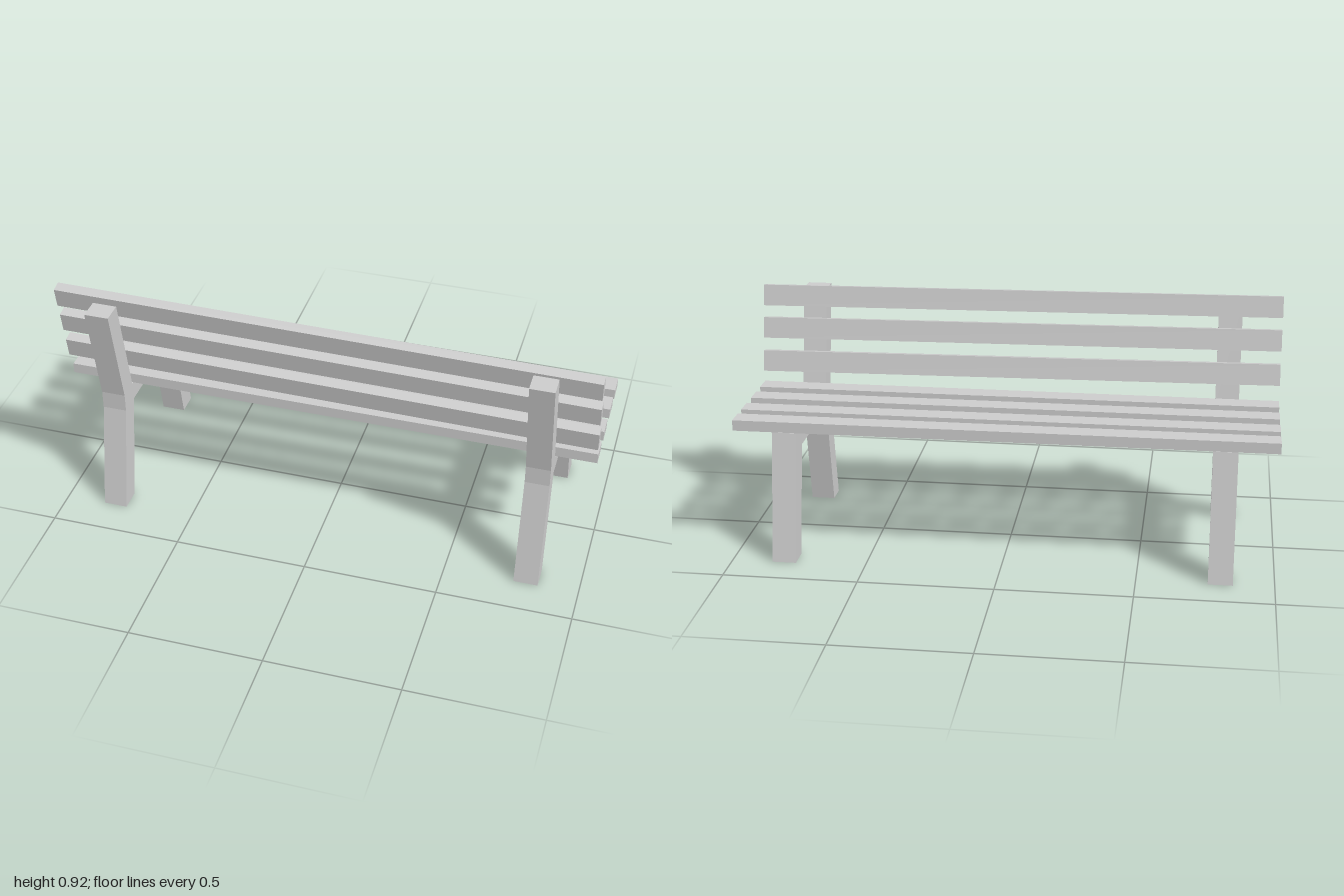
import * as THREE from 'three';

const material = new THREE.MeshStandardMaterial({ color: 0xcccccc, flatShading: true });

// Side profile of one support as (z, y): rear leg, seat rail, front leg, back post
const PROFILE = [
  [0.363, 0], [0.28, 0], [0.203, 0.41], [-0.2, 0.41], [-0.278, 0], [-0.363, 0],
  [-0.277, 0.48], [0.207, 0.48], [0.285, 0.88], [0.365, 0.88], [0.285, 0.48], [0.285, 0.41],
];
const FRAME_WIDTH = 0.09;

function addMesh(group, name, geometry) {
  const mesh = new THREE.Mesh(geometry, material);
  mesh.name = name;
  group.add(mesh);
  return mesh;
}

export function createModel() {
  const bench = new THREE.Group();
  bench.name = 'bench';

  // Two mirrored end supports
  const shape = new THREE.Shape(PROFILE.map(([z, y]) => new THREE.Vector2(z, y)));
  const frame = new THREE.ExtrudeGeometry(shape, { depth: FRAME_WIDTH, bevelEnabled: false });
  frame.translate(0, 0, -FRAME_WIDTH / 2).rotateY(-Math.PI / 2);
  for (const [name, x] of [['leftSupport', 0.805], ['rightSupport', -0.805]]) {
    addMesh(bench, name, frame).position.x = x;
  }

  // Four seat slats, from back to front
  const seatSlat = new THREE.BoxGeometry(2, 0.04, 0.078);
  [0.158, 0.024, -0.113, -0.236].forEach((z, i) => {
    addMesh(bench, `seatSlat${i + 1}`, seatSlat).position.set(0, 0.5, z);
  });

  // Three back slats, leaning with the posts and sagging slightly to the left
  const backSlat = new THREE.BoxGeometry(2, 0.08, 0.04);
  [[0.863, 0.258], [0.739, 0.233], [0.611, 0.209]].forEach(([y, z], i) => {
    const slat = addMesh(bench, `backSlat${i + 1}`, backSlat);
    slat.position.set(0, y, z);
    slat.rotation.set(0.2, -0.001, -0.01, 'ZYX');
  });

  return bench;
}
